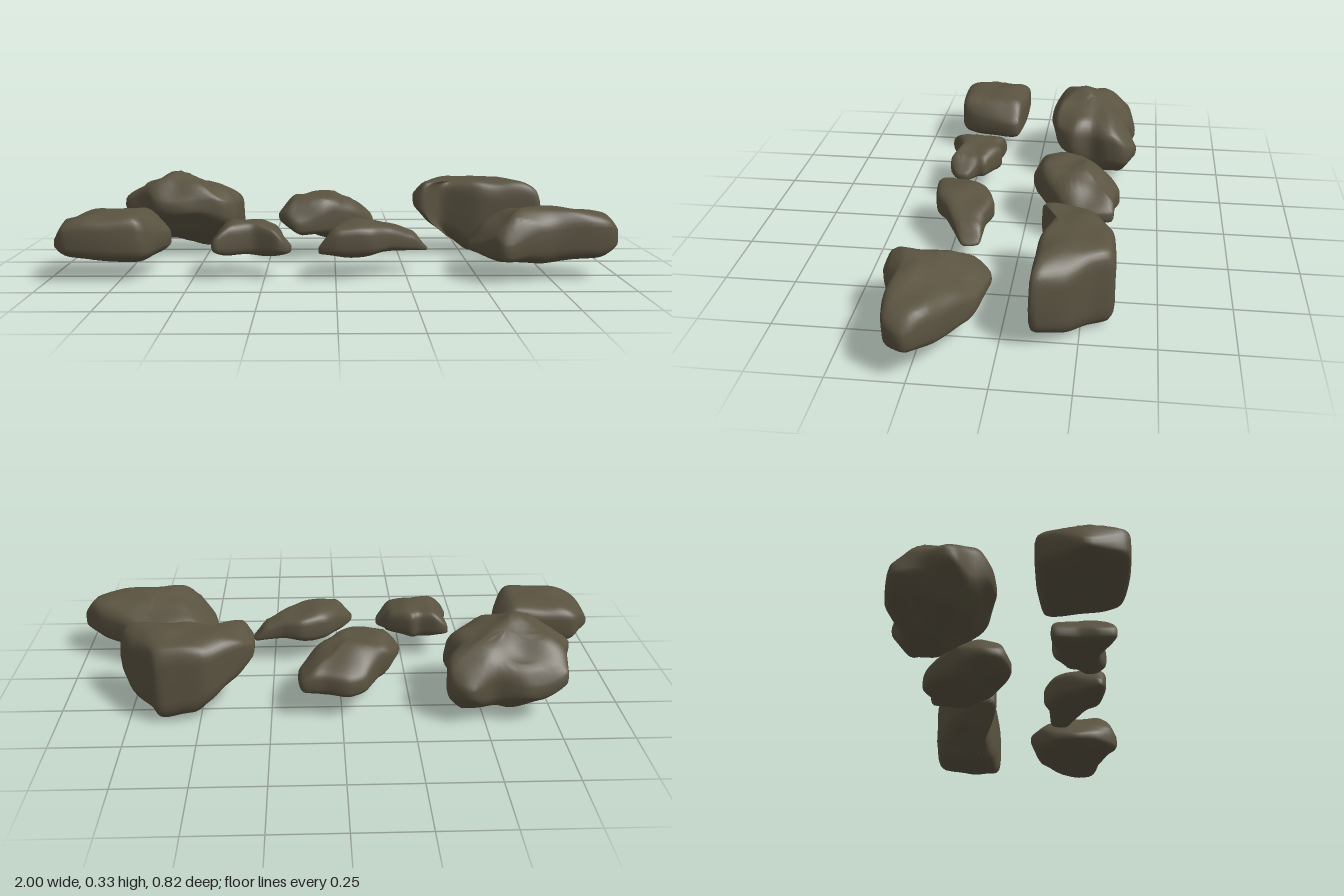
import * as THREE from 'three';

// Smoothly reads a profile given as [position, height] pairs.
function profile(pts, v) {
  if (v <= pts[0][0]) return pts[0][1];
  for (let i = 1; i < pts.length; i++) {
    const [a, ya] = pts[i - 1], [b, yb] = pts[i];
    if (v <= b) return ya + (yb - ya) * THREE.MathUtils.smootherstep((v - a) / (b - a), -0.25, 1.25);
  }
  return pts[pts.length - 1][1];
}

// A rock: plan outline (x, z) lofted between top and bottom profiles.
// Optional side profiles along z trim the top and the bottom; a smaller box value gives blunter sides.
function rockGeometry({ plan, top, bottom, sideTop, sideBottom, box = 0.42, lump = 0.006, seed = 0 }) {
  const around = 72, levels = 26;
  const curve = new THREE.CatmullRomCurve3(
    plan.map(([x, z]) => new THREE.Vector3(x, 0, z)), true, 'catmullrom', 0.3);
  const ring = curve.getSpacedPoints(around).slice(0, around);
  const centre = ring.reduce((c, p) => c.add(p), new THREE.Vector3()).multiplyScalar(1 / around);
  const pos = [], index = [];

  const addPoint = (p, s, h) => {
    const x = centre.x + (p.x - centre.x) * s, z = centre.z + (p.z - centre.z) * s;
    let hi = profile(top, x), lo = profile(bottom, x);
    if (sideTop) hi = Math.min(hi, profile(sideTop, z));
    if (sideBottom) lo = Math.max(lo, profile(sideBottom, z));
    const bump = Math.sin(x * 31 + seed) * Math.sin(z * 27 + seed * 2) + 0.6 * Math.sin(x * 17 - z * 41 + seed * 3);
    const y = (hi + lo) / 2 + (hi - lo) / 2 * h + lump * (bump - 0.8 * Math.sign(h)) * Math.abs(h);
    const dent = 1 + 1.5 * lump * Math.sin(y * 50 + x * 19 + z * 23 + seed);
    pos.push(centre.x + (x - centre.x) * dent, Math.max(y, 0), centre.z + (z - centre.z) * dent);
  };

  addPoint(centre, 0, -1);
  for (let j = 1; j < levels; j++) {
    const phi = Math.PI / 2 * Math.sin(Math.PI / 2 * (2 * j / levels - 1));
    const s = Math.cos(phi) ** box, h = Math.sign(phi) * Math.abs(Math.sin(phi)) ** (box + 0.15);
    ring.forEach(p => addPoint(p, s, h));
  }
  addPoint(centre, 0, 1);

  // plan points run clockwise seen from above
  const last = pos.length / 3 - 1;
  for (let i = 0; i < around; i++) {
    const n = (i + 1) % around;
    index.push(0, 1 + i, 1 + n);
    for (let j = 0; j < levels - 2; j++) {
      const a = 1 + j * around + i, b = 1 + j * around + n;
      index.push(a, b + around, b, a, a + around, b + around);
    }
    index.push(last, last - around + n, last - around + i);
  }
  const g = new THREE.BufferGeometry();
  g.setAttribute('position', new THREE.Float32BufferAttribute(pos, 3));
  g.setIndex(index);
  g.computeVertexNormals();
  return g;
}

const rocks = {
  frontSlabRock: {
    plan: [[-0.91, 0.08], [-0.75, 0.08], [-0.61, 0.1], [-0.6, 0.14], [-0.63, 0.27], [-0.67, 0.35], [-0.8, 0.365], [-0.94, 0.355], [-0.98, 0.28], [-1, 0.22], [-0.96, 0.15]],
    top: [[-1, 0.14], [-0.95, 0.21], [-0.85, 0.23], [-0.68, 0.235], [-0.6, 0.17]],
    bottom: [[-1, 0.085], [-0.85, 0.07], [-0.68, 0.055], [-0.6, 0.07]],
    box: 0.38, lump: 0.003, seed: 1,
  },
  frontSmallRock: {
    plan: [[-0.43, 0.135], [-0.39, 0.125], [-0.32, 0.145], [-0.285, 0.13], [-0.19, 0.185], [-0.19, 0.215], [-0.155, 0.255], [-0.16, 0.295], [-0.2, 0.325], [-0.285, 0.3], [-0.35, 0.32], [-0.42, 0.35], [-0.435, 0.285], [-0.425, 0.22]],
    top: [[-0.44, 0.15], [-0.37, 0.2], [-0.27, 0.2], [-0.21, 0.185], [-0.155, 0.13]],
    bottom: [[-0.44, 0.09], [-0.3, 0.075], [-0.155, 0.08]],
    lump: 0.004, seed: 2,
  },
  frontWedgeRock: {
    plan: [[-0.06, 0.31], [-0.02, 0.22], [0.04, 0.14], [0.14, 0.1], [0.22, 0.12], [0.32, 0.13], [0.33, 0.19], [0.25, 0.24], [0.18, 0.28], [0.12, 0.32], [0, 0.335]],
    top: [[-0.06, 0.13], [0, 0.19], [0.08, 0.2], [0.2, 0.18], [0.28, 0.15], [0.33, 0.1]],
    bottom: [[-0.06, 0.075], [0.1, 0.075], [0.2, 0.085], [0.33, 0.075]],
    lump: 0.003, seed: 3,
  },
  frontLargeRock: {
    plan: [[0.47, 0.23], [0.5, 0.13], [0.57, 0.06], [0.62, 0.04], [0.76, 0.07], [0.86, 0.13], [0.94, 0.18], [1, 0.25], [0.96, 0.32], [0.88, 0.34], [0.76, 0.35], [0.66, 0.385], [0.57, 0.41], [0.5, 0.33]],
    top: [[0.47, 0.13], [0.55, 0.2], [0.64, 0.255], [0.75, 0.255], [0.95, 0.235], [1, 0.2]],
    bottom: [[0.47, 0.08], [0.6, 0.055], [0.8, 0.06], [0.92, 0.065], [1, 0.085]],
    sideTop: [[0.04, 0.17], [0.12, 0.21], [0.2, 0.24], [0.3, 0.26], [0.37, 0.225], [0.41, 0.16]],
    sideBottom: [[0.04, 0.11], [0.09, 0.07], [0.2, 0.05], [0.35, 0.06], [0.41, 0.065]],
    box: 0.38, lump: 0.004, seed: 4,
  },
  backLargeRock: {
    plan: [[-0.78, -0.37], [-0.64, -0.4], [-0.53, -0.375], [-0.44, -0.41], [-0.37, -0.36], [-0.37, -0.28], [-0.4, -0.22], [-0.375, -0.15], [-0.43, -0.08], [-0.57, -0.05], [-0.68, -0.06], [-0.75, -0.12], [-0.82, -0.18], [-0.79, -0.27]],
    top: [[-0.82, 0.25], [-0.73, 0.295], [-0.62, 0.335], [-0.54, 0.305], [-0.45, 0.27], [-0.37, 0.25]],
    bottom: [[-0.82, 0.14], [-0.7, 0.07], [-0.58, 0.03], [-0.44, 0.01], [-0.37, 0.05]],
    sideTop: [[-0.41, 0.165], [-0.36, 0.225], [-0.27, 0.285], [-0.16, 0.34], [-0.1, 0.305], [-0.05, 0.25]],
    sideBottom: [[-0.41, 0.08], [-0.35, 0.03], [-0.24, 0.02], [-0.14, 0.08], [-0.05, 0.15]],
    lump: 0.008, seed: 5,
  },
  backMiddleRock: {
    plan: [[-0.085, -0.33], [-0.02, -0.355], [0.06, -0.335], [0.14, -0.33], [0.155, -0.21], [0.11, -0.14], [0.03, -0.08], [-0.05, -0.035], [-0.145, -0.015], [-0.2, -0.05], [-0.215, -0.115], [-0.18, -0.21], [-0.145, -0.24]],
    top: [[-0.22, 0.19], [-0.16, 0.24], [-0.02, 0.25], [0.06, 0.22], [0.15, 0.16]],
    bottom: [[-0.22, 0.13], [-0.13, 0.09], [0, 0.07], [0.15, 0.08]],
    sideTop: [[-0.36, 0.18], [-0.2, 0.255], [-0.06, 0.24], [-0.01, 0.17]],
    lump: 0.006, seed: 6,
  },
  backBlockRock: {
    plan: [[0.31, -0.205], [0.355, -0.265], [0.47, -0.345], [0.565, -0.355], [0.645, -0.355], [0.685, -0.29], [0.755, -0.21], [0.8, -0.115], [0.785, -0.095], [0.57, -0.1], [0.49, -0.12], [0.41, -0.14], [0.345, -0.095], [0.315, -0.11]],
    top: [[0.31, 0.26], [0.35, 0.295], [0.5, 0.3], [0.68, 0.3], [0.78, 0.28], [0.81, 0.25]],
    bottom: [[0.31, 0.17], [0.4, 0.1], [0.46, 0.06], [0.52, 0.015], [0.64, 0], [0.72, 0.015], [0.81, 0.04]],
    box: 0.3, lump: 0.005, seed: 7,
  },
};

export function createModel() {
  const model = new THREE.Group();
  model.name = 'rockSet';
  const stone = new THREE.MeshStandardMaterial({ color: 0x5a5341 });
  stone.name = 'mossy brown stone';
  for (const [name, spec] of Object.entries(rocks)) {
    const mesh = new THREE.Mesh(rockGeometry(spec), stone);
    mesh.name = name;
    model.add(mesh);
  }
  return model;
}
